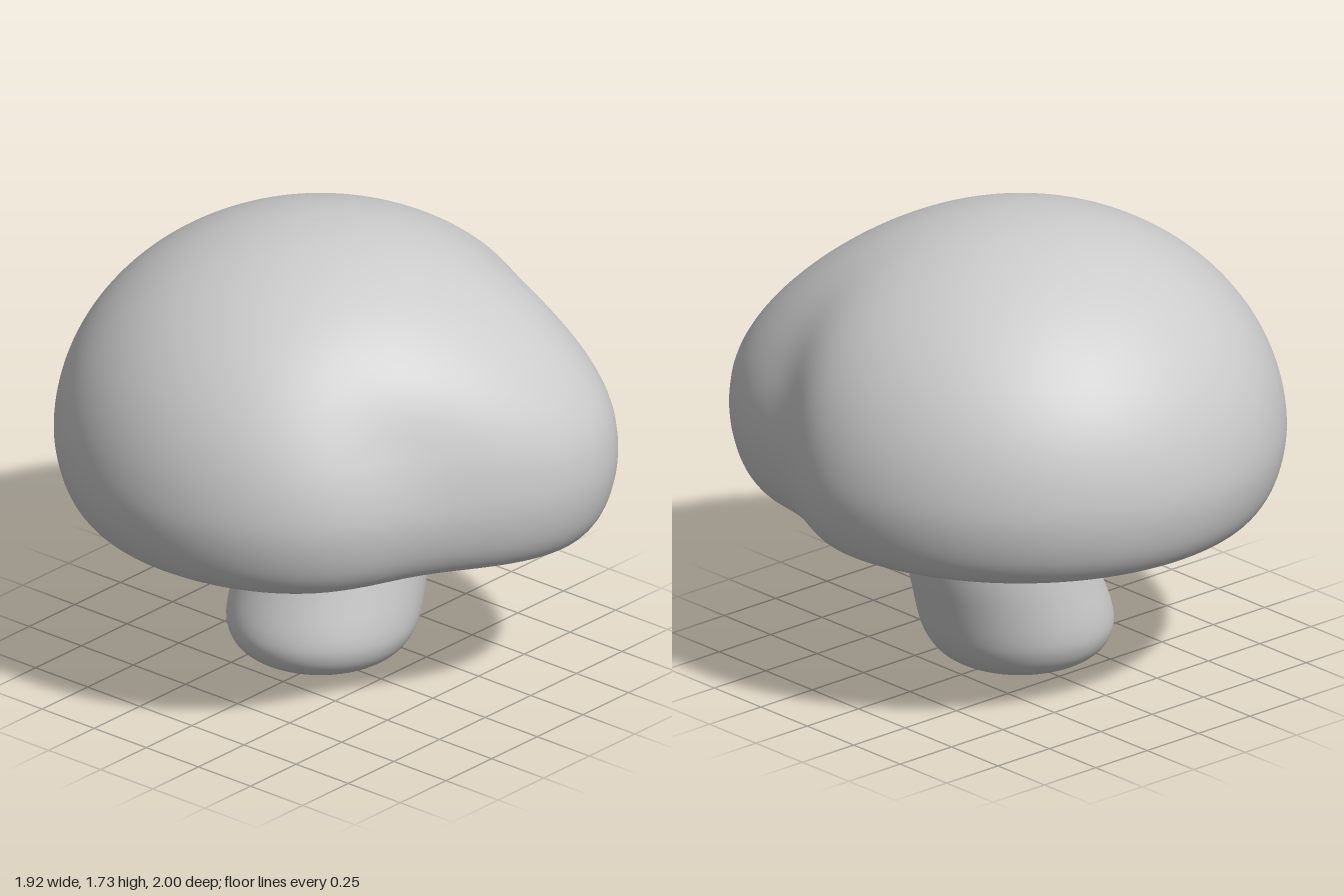
import * as THREE from 'three';
import { mergeVertices } from 'three/addons/utils/BufferGeometryUtils.js';

const { smoothstep, radToDeg } = THREE.MathUtils;
const CENTRE_Z = -0.04;

// Smooth lathe from a few profile points, each vertex then moved by a rule
function sculpt(name, profile, steps, segments, rule) {
  const curve = new THREE.SplineCurve(profile.map(([r, y]) => new THREE.Vector2(r, y)));
  const points = curve.getPoints(steps);
  points.forEach((p) => { p.x = Math.max(0, p.x); });
  let geometry = new THREE.LatheGeometry(points, segments);
  const pos = geometry.attributes.position;
  const v = new THREE.Vector3();
  for (let i = 0; i < pos.count; i++) {
    v.fromBufferAttribute(pos, i);
    rule(v);
    pos.setXYZ(i, v.x, v.y, v.z + CENTRE_Z);
  }
  // Weld the seam so the normals are smooth all round
  geometry.deleteAttribute('uv');
  geometry.deleteAttribute('normal');
  geometry = mergeVertices(geometry, 1e-5);
  geometry.computeVertexNormals();
  const mesh = new THREE.Mesh(geometry, new THREE.MeshStandardMaterial({ color: 0xcccccc, roughness: 0.8 }));
  mesh.name = name;
  return mesh;
}

const bell = (angle, centre, width) => Math.exp(-0.5 * ((angle - centre) / width) ** 2);

// Cap outline: a lobe at the front left and a dip on each side of it,
// the dips closing in behind the lobe as they climb the dome
function lobe({ x, y, z }) {
  const a = radToDeg(Math.atan2(x, z));
  const climb = smoothstep(y, 0.9, 1.5);
  const bump = 0.138 * bell(a, 24.5, 17.5) * (1 - smoothstep(y, 1.0, 1.8));
  const dips = 0.072 * bell(a, -23 - 12 * climb, 16) + 0.052 * bell(a, 67 - 8 * climb, 10.5);
  return bump - dips * (1 - smoothstep(y, 1.15, 1.74));
}

function bendCap(v) {
  const r = Math.hypot(v.x, v.z);
  if (r < 1e-6) return;
  const f = lobe(v);
  const k = 1 + f / 0.96;
  v.x *= k;
  v.z *= k;
  // The lobe also hangs a little lower at the rim
  v.y -= 0.18 * f * (1 - smoothstep(v.y, 0.63, 1.1)) * smoothstep(r, 0.5, 0.8);
}

// Stem leans to the left as it rises, then returns to the centre inside the cap
function bendStem(v) {
  v.x += 0.125 * (smoothstep(v.y, 0.06, 0.59) - smoothstep(v.y, 0.66, 0.95));
}

export function createModel() {
  const group = new THREE.Group();
  group.name = 'mushroom';

  // Cap: hollow underside, rolled rim, elliptical dome
  const dome = [];
  for (let i = 0; i <= 12; i++) {
    const t = (i / 12) * Math.PI / 2;
    dome.push([0.963 * Math.cos(t), 0.91 + 0.822 * Math.sin(t)]);
  }
  group.add(sculpt('cap', [
    [0, 0.98], [0.3, 0.97], [0.45, 0.94], [0.58, 0.875], [0.68, 0.775], [0.735, 0.685],
    [0.785, 0.636], [0.825, 0.629], [0.875, 0.655], [0.92, 0.72], [0.95, 0.81], ...dome,
  ], 140, 144, bendCap));

  // Stem: rounded foot, slight waist, rounded collar under the cap
  group.add(sculpt('stem', [
    [0, 0], [0.12, 0.008], [0.22, 0.03], [0.295, 0.07], [0.338, 0.13], [0.353, 0.21],
    [0.344, 0.36], [0.332, 0.5], [0.32, 0.65], [0.328, 0.75], [0.37, 0.83], [0.42, 0.91],
    [0.4, 0.98], [0.25, 1.03], [0, 1.04],
  ], 80, 72, bendStem));

  return group;
}
